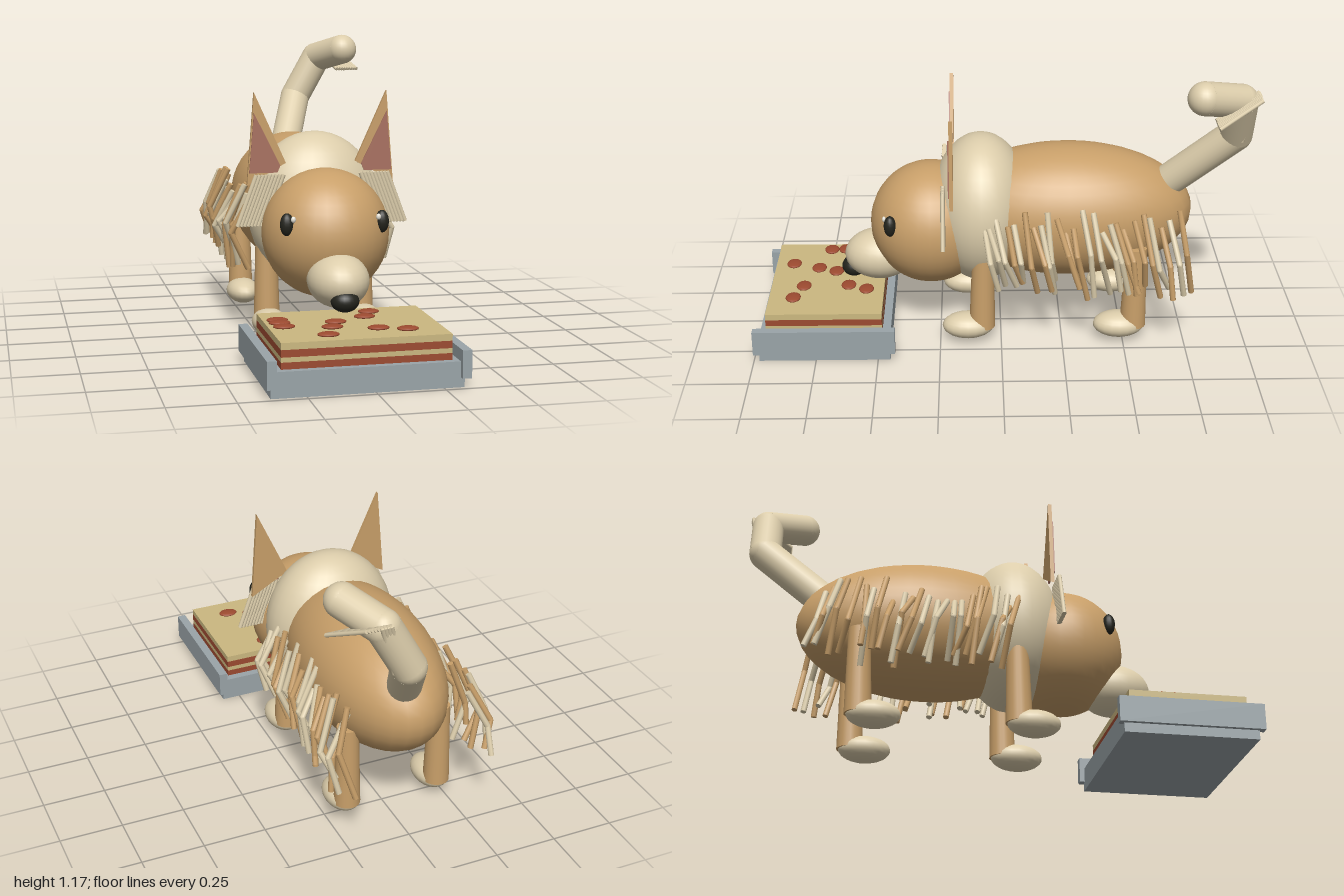
import * as THREE from 'three';

const mat = (name, color, side = THREE.FrontSide) => {
  const m = new THREE.MeshStandardMaterial({ color, side });
  m.name = name;
  return m;
};

export function createModel() {
  const tan = mat('tan fur', 0xc89f69);
  const cream = mat('cream fur', 0xdccdab);
  const pink = mat('inner ear', 0xa8705f);
  const black = mat('black', 0x24241d);
  const white = mat('eye shine', 0xf0ece0);
  const crust = mat('pastry', 0xcbb880);
  const red = mat('red filling', 0x9c4a30);
  const grey = mat('grey tray', 0x9aa4a8);

  const model = new THREE.Group();
  model.name = 'dogWithTray';
  const dog = new THREE.Group();
  dog.name = 'dog';
  dog.position.x = -0.025;
  const tray = new THREE.Group();
  tray.name = 'tray';
  model.add(dog, tray);

  const add = (parent, name, geo, material, x = 0, y = 0, z = 0) => {
    const m = new THREE.Mesh(geo, material);
    m.name = name;
    m.position.set(x, y, z);
    parent.add(m);
    return m;
  };
  const ball = (parent, name, material, c, r, seg = 24) => {
    const m = add(parent, name, new THREE.SphereGeometry(1, seg, Math.round(seg * 0.7)), material, ...c);
    m.scale.set(...r);
    return m;
  };
  // Box from its minimum and maximum corners
  const box = (name, material, a, b) => add(tray, name,
    new THREE.BoxGeometry(b[0] - a[0], b[1] - a[1], b[2] - a[2]), material,
    (a[0] + b[0]) / 2, (a[1] + b[1]) / 2, (a[2] + b[2]) / 2);
  // Cylinder running from a to b
  const rod = (parent, name, material, a, b, r0, r1 = r0, seg = 8) => {
    const p = new THREE.Vector3(...a), q = new THREE.Vector3(...b);
    const d = q.clone().sub(p);
    const m = add(parent, name, new THREE.CylinderGeometry(r1, r0, d.length(), seg), material);
    m.position.copy(p).add(q).multiplyScalar(0.5);
    m.quaternion.setFromUnitVectors(new THREE.Vector3(0, 1, 0), d.normalize());
    return m;
  };
  let seed = 7;
  const rand = (lo, hi) => {
    seed = (seed * 16807) % 2147483647;
    return lo + (hi - lo) * (seed / 2147483647);
  };

  // Trunk and head
  ball(dog, 'body', tan, [0, 0.51, -0.27], [0.265, 0.277, 0.515], 32);
  ball(dog, 'ruff', cream, [0, 0.52, 0.08], [0.27, 0.312, 0.205], 32);
  ball(dog, 'head', tan, [0, 0.455, 0.285], [0.25, 0.253, 0.248], 32);
  ball(dog, 'muzzle', cream, [0, 0.308, 0.5], [0.118, 0.104, 0.145]);
  ball(dog, 'nose', black, [0, 0.25, 0.61], [0.054, 0.042, 0.05]);

  const triangle = (pts, depth) => new THREE.ExtrudeGeometry(
    new THREE.Shape(pts.map(p => new THREE.Vector2(...p))), { depth, bevelEnabled: false });

  for (const s of [1, -1]) {
    const side = s > 0 ? 'left' : 'right';

    // Eyes
    ball(dog, side + 'Eye', black, [s * 0.186, 0.518, 0.445], [0.027, 0.044, 0.025], 16);
    ball(dog, side + 'EyeShine', white, [s * 0.166, 0.54, 0.469], [0.01, 0.012, 0.008], 10);

    // Ears with a thin inner plate
    const ear = [[0.266, 1], [0.14, 0.722], [0.295, 0.635]];
    const inner = [[0.267, 0.92], [0.163, 0.712], [0.175, 0.685], [0.287, 0.685]];
    const flip = pts => pts.map(([x, y]) => [s * x, y]);
    add(dog, side + 'Ear', triangle(flip(ear), 0.015), tan, 0, 0, 0.19);
    add(dog, side + 'InnerEar', triangle(flip(inner), 0.005), pink, 0, 0, 0.205);

    // Fringe under the ear
    for (let i = 0; i < 9; i++) {
      const x = 0.155 + i * 0.0135;
      rod(dog, side + 'EarFringe', cream, [s * x, 0.68, 0.232], [s * (x + 0.075), 0.48, 0.232], 0.009);
    }

    // Legs and paws
    for (const [name, z] of [['Front', 0.078], ['Back', -0.54]]) {
      rod(dog, side + name + 'Leg', tan, [s * 0.195, 0.07, z], [s * 0.195, 0.42, z - 0.005], 0.053, 0.043, 20);
      ball(dog, side + name + 'Paw', cream, [s * 0.195, 0.072, z + 0.058], [0.07, 0.053, 0.105], 20);
    }

    // Bent strands of long coat along the flank
    for (let i = 0; i < 24; i++) {
      const z = 0.08 - i * 0.0335 + rand(-0.012, 0.012);
      const m = rand(0, 1) < 0.55 ? tan : cream;
      const top = [s * rand(0.24, 0.275), rand(0.52, 0.62), z];
      const mid = [s * rand(0.31, 0.345), rand(0.39, 0.45), z - rand(0.01, 0.05)];
      const end = [s * rand(0.25, 0.33), rand(0.235, 0.31), mid[2] - rand(0.01, 0.05)];
      rod(dog, side + 'CoatUpper', m, top, mid, 0.012);
      rod(dog, side + 'CoatLower', m, mid, end, 0.012);
      ball(dog, side + 'CoatBend', m, mid, [0.012, 0.012, 0.012], 8);
    }
  }

  // Bent tail
  const tail = [[0.01, 0.6, -0.64], [0.135, 0.885, -0.925], [0.235, 1.065, -0.92], [0.32, 1.108, -0.765]];
  for (let i = 0; i < 3; i++) {
    rod(dog, 'tailSegment', cream, tail[i], tail[i + 1], 0.066, 0.066, 24);
    ball(dog, 'tailJoint', cream, tail[i + 1], [0.066, 0.066, 0.066]);
  }
  // Tail fringe
  for (let i = 0; i < 9; i++) {
    const x = 0.235 + i * 0.0115;
    rod(dog, 'tailFringe', cream, [x, 1.1, -0.985], [x + 0.075, 1.015, -0.815], 0.008);
  }
  for (let i = 0; i < 4; i++) {
    const x = 0.235 + i * 0.0115;
    rod(dog, 'tailFringe', cream, [x, 1.1, -0.985], [x - 0.07, 0.88, -0.94], 0.008);
  }

  // Tray with side rails
  box('trayBase', grey, [-0.38, 0, 0.45], [0.325, 0.095, 0.978]);
  box('rightRail', grey, [-0.397, 0.037, 0.43], [-0.362, 0.14, 1]);
  box('leftRail', grey, [0.31, 0.037, 0.43], [0.345, 0.14, 1]);

  // Layered slab
  [0.095, 0.12, 0.138, 0.165, 0.19].forEach((y, i, ys) => {
    if (i < 4) box('layer', i % 2 ? crust : red, [-0.337, y, 0.483], [0.287, ys[i + 1], 0.95]);
  });

  // Round toppings
  const spots = [[-0.285, 0.62], [-0.285, 0.665], [-0.28, 0.725], [-0.08, 0.69], [-0.11, 0.765],
    [0.045, 0.63], [0.08, 0.555], [0.05, 0.815], [0.15, 0.85], [-0.15, 0.875]];
  for (const [x, z] of spots) ball(tray, 'topping', red, [x, 0.194, z], [0.041, 0.009, 0.031], 14);

  return model;
}
